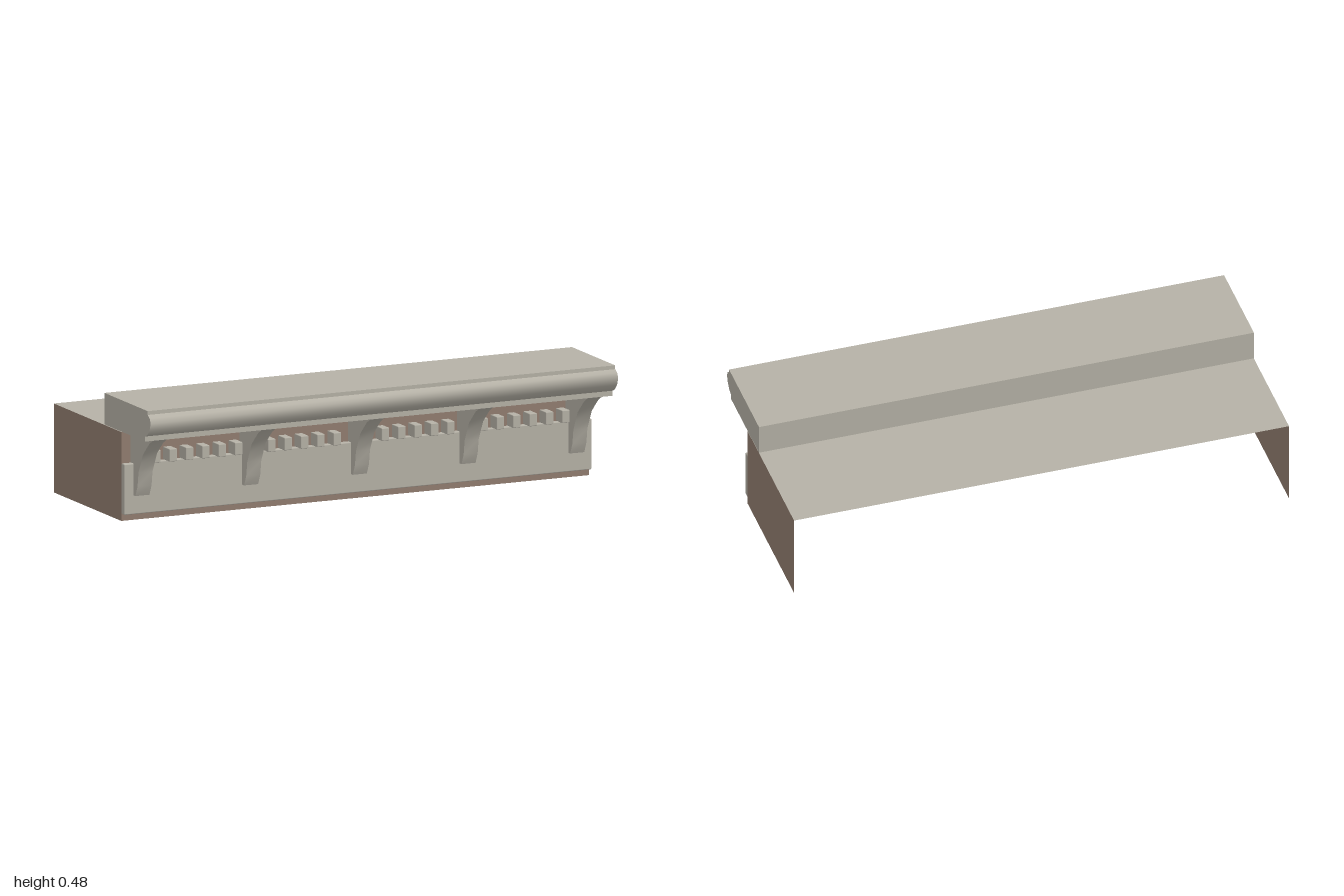
import * as THREE from 'three';
import { toCreasedNormals } from 'three/addons/utils/BufferGeometryUtils.js';
import { RoundedBoxGeometry } from 'three/addons/geometries/RoundedBoxGeometry.js';

const BACK = -0.43, FACE = 0.17, TOP = 0.35;
const SEAT = FACE - 0.0006; // mouldings are let slightly into the wall

// Sweep a [z, y] side profile along x, centred on x = 0
function sweep(profile, width) {
  const shape = new THREE.Shape(profile.map(([z, y]) => new THREE.Vector2(z, y)));
  const geo = new THREE.ExtrudeGeometry(shape, { depth: width, bevelEnabled: false });
  geo.translate(0, 0, -width / 2);
  geo.rotateY(-Math.PI / 2);
  return toCreasedNormals(geo, 1.0);
}

export function createModel() {
  const model = new THREE.Group();
  model.name = 'corniceSection';

  const stone = new THREE.MeshStandardMaterial({ color: 0xb5b1a6, side: THREE.DoubleSide });
  stone.name = 'pale stone';
  const brick = new THREE.MeshStandardMaterial({ color: 0x917d70, side: THREE.DoubleSide });
  brick.name = 'brown wall';

  const add = (name, geo, mat, x = 0, y = 0, z = 0) => {
    const mesh = new THREE.Mesh(geo, mat);
    mesh.name = name;
    mesh.position.set(x, y, z);
    model.add(mesh);
    return mesh;
  };

  // Thin shell: front wall, two end walls and roof, open behind and below
  const depth = FACE - BACK, midZ = (FACE + BACK) / 2;
  add('frontWall', new THREE.PlaneGeometry(2, TOP), brick, 0, TOP / 2, FACE);
  for (const s of [-1, 1]) {
    const end = new THREE.PlaneGeometry(depth, TOP).rotateY(s * Math.PI / 2);
    add(s > 0 ? 'leftWall' : 'rightWall', end, brick, s, TOP / 2, midZ);
  }
  add('roof', new THREE.PlaneGeometry(2, depth).rotateX(-Math.PI / 2), stone, 0, TOP, midZ);

  // Overhanging cornice with a rounded nose
  add('cornice', sweep([
    [0.02, 0.352], [0.382, 0.352], [0.382, 0.372], [0.401, 0.381], [0.42, 0.401],
    [0.431, 0.43], [0.422, 0.45], [0.404, 0.461], [0.404, 0.476], [0.02, 0.476],
  ], 2), stone);

  // Flat frieze board
  const bandDepth = 0.195 - SEAT;
  add('friezeBand', new RoundedBoxGeometry(2, 0.2, bandDepth, 2, 0.004), stone,
    0, 0.127, SEAT + bandDepth / 2);

  // Curved brackets
  const bracketGeo = sweep([
    [SEAT, 0.102], [0.212, 0.102], [0.231, 0.143], [0.24, 0.2], [0.26, 0.24],
    [0.279, 0.277], [0.308, 0.305], [0.338, 0.332], [0.374, 0.352], [SEAT, 0.352],
  ], 0.06);
  for (let i = -2; i <= 2; i++) add('bracket', bracketGeo, stone, i * 0.465);

  // Dentil blocks: five in each inner bay, six in each outer bay
  const blockDepth = 0.227 - SEAT;
  const blockGeo = new RoundedBoxGeometry(0.033, 0.05, blockDepth, 2, 0.003);
  for (const [start, count] of [[0.103, 5], [0.525, 6]]) {
    for (let i = 0; i < count; i++) {
      for (const s of [-1, 1]) {
        add('dentil', blockGeo, stone, s * (start + i * 0.07), 0.252, SEAT + blockDepth / 2);
      }
    }
  }
  return model;
}
